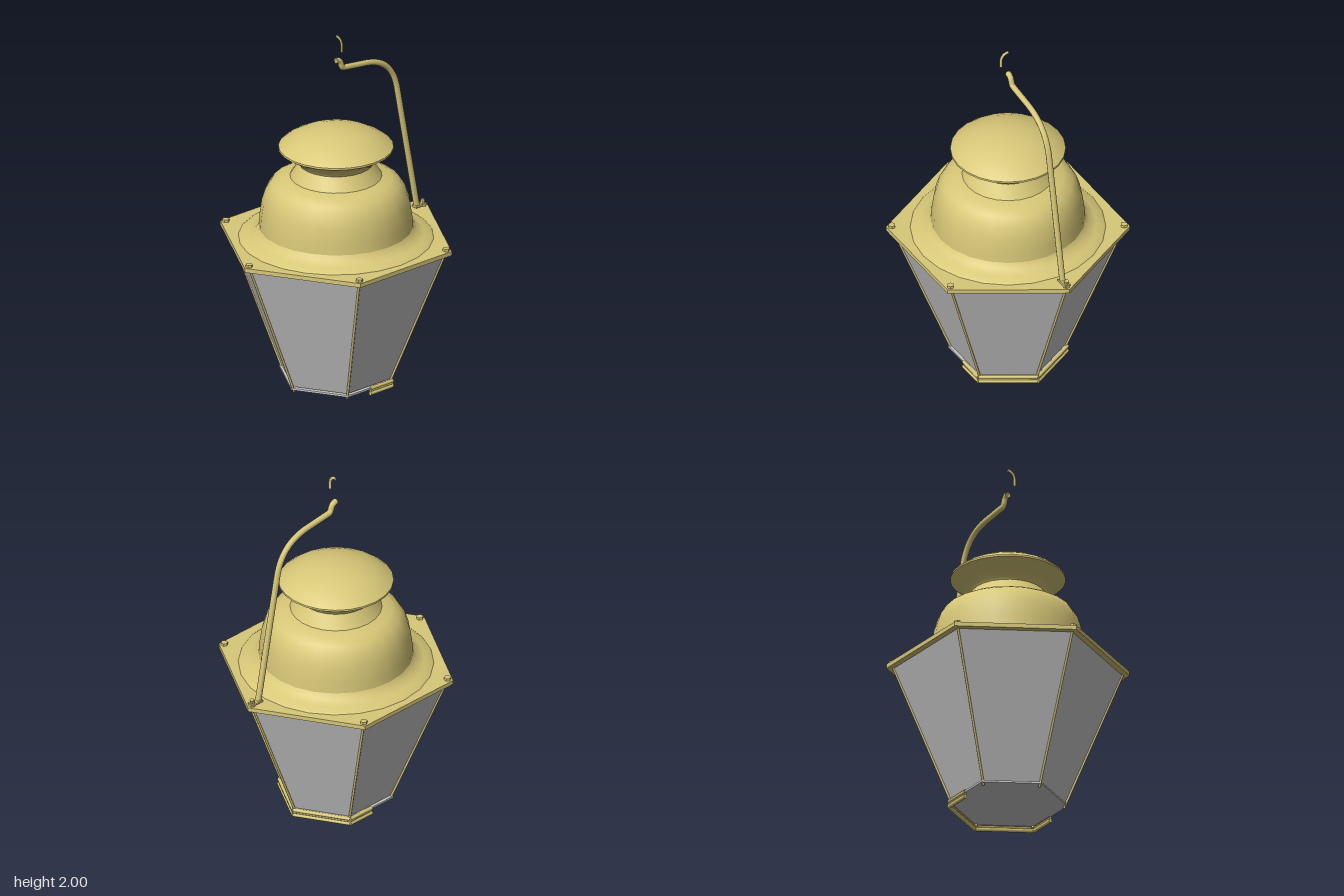
import * as THREE from 'three';
import { toCreasedNormals } from 'three/addons/utils/BufferGeometryUtils.js';

const V = (x, y, z) => new THREE.Vector3(x, y, z);

export function createModel() {
  const model = new THREE.Group();
  model.name = 'lantern';
  const brass = new THREE.MeshStandardMaterial({ color: 0xd8c878, side: THREE.DoubleSide });
  const brassFlat = new THREE.MeshStandardMaterial({ color: 0xd8c878, flatShading: true });
  const glass = new THREE.MeshStandardMaterial({ color: 0xcccccc, flatShading: true, side: THREE.DoubleSide });

  const add = (name, geometry, material, parent = model) => {
    const mesh = new THREE.Mesh(geometry, material);
    mesh.name = name;
    parent.add(mesh);
    return mesh;
  };
  const group = (name) => {
    const g = new THREE.Group();
    g.name = name;
    model.add(g);
    return g;
  };
  // Six-sided prism or frustum with corners on the x axis
  const hex = (top, bottom, y0, y1, open = false) =>
    new THREE.CylinderGeometry(top, bottom, y1 - y0, 6, 1, open, Math.PI / 2).translate(0, (y0 + y1) / 2, 0);
  const corner = (r, y, i) => V(r * Math.cos(i * Math.PI / 3), y, r * Math.sin(i * Math.PI / 3));
  // Straight round bar between two points
  const bar = (name, a, b, r, sides, parent) => {
    const mesh = add(name, new THREE.CylinderGeometry(r, r, a.distanceTo(b), sides), brass, parent);
    mesh.position.lerpVectors(a, b, 0.5);
    mesh.quaternion.setFromUnitVectors(V(0, 1, 0), b.clone().sub(a).normalize());
  };
  const lathe = (name, points) => {
    const g = new THREE.LatheGeometry(points.map(([r, y]) => new THREE.Vector2(r, y)), 24);
    add(name, toCreasedNormals(g, 0.7), brass);
  };

  // Tapering panes and floor
  add('glassPanes', hex(0.61, 0.305, 0.05, 0.812, true), glass);
  add('floorPlate', hex(0.318, 0.318, 0.034, 0.045), glass);

  // Corner bars
  const bars = group('cornerBars');
  for (let i = 0; i < 6; i++) bar('cornerBar', corner(0.61, 0.812, i), corner(0.297, 0.02, i), 0.007, 6, bars);

  // Bottom trim around the +x half
  const trim = group('bottomTrim');
  const half = [V(0, 0, 0.273), corner(0.315, 0, 1), corner(0.315, 0, 0), corner(0.315, 0, -1), V(0, 0, -0.273)];
  for (const [y, r] of [[0.011, 0.011], [0.026, 0.006], [0.04, 0.01]]) {
    for (let i = 0; i < 4; i++) {
      bar('trimRail', half[i].clone().setY(y), half[i + 1].clone().setY(y), r, 8, trim);
    }
  }

  // Hexagonal roof plate and its bolts
  add('roofPlate', hex(0.648, 0.648, 0.81, 0.834), brassFlat);
  const bolts = group('bolts');
  for (let i = 0; i < 6; i++) {
    const bolt = add('bolt', new THREE.CylinderGeometry(0.019, 0.019, 0.016, 6), brassFlat, bolts);
    bolt.position.copy(corner(0.617, 0.841, i));
  }

  // Turned roof: flange, dome, neck and cap
  lathe('flange', [[0.52, 0.834], [0.51, 0.842], [0.47, 0.852], [0.43, 0.873], [0.412, 0.9]]);
  lathe('dome', [[0.412, 0.88], [0.406, 0.96], [0.395, 1.04], [0.376, 1.1], [0.345, 1.15], [0.3, 1.176],
    [0.245, 1.188]]);
  lathe('neck', [[0.245, 1.188], [0.225, 1.22], [0.198, 1.262], [0.205, 1.275], [0.24, 1.305], [0.308, 1.348]]);
  lathe('cap', [[0.308, 1.348], [0.307, 1.358], [0.27, 1.388], [0.21, 1.42], [0.14, 1.443], [0.07, 1.455], [0, 1.459]]);

  // Carrying arm rising from the +x corner
  const path = new THREE.CurvePath();
  path.add(new THREE.LineCurve3(V(0.572, 0.85, 0), V(0.432, 1.575, 0)));
  path.add(new THREE.CubicBezierCurve3(V(0.432, 1.575, 0), V(0.405, 1.7, 0), V(0.33, 1.765, 0), V(0.19, 1.779, 0)));
  path.add(new THREE.LineCurve3(V(0.19, 1.779, 0), V(0.052, 1.796, 0)));
  path.add(new THREE.QuadraticBezierCurve3(V(0.052, 1.796, 0), V(0.04, 1.798, 0), V(0.035, 1.82, 0)));
  path.add(new THREE.QuadraticBezierCurve3(V(0.035, 1.82, 0), V(0.028, 1.85, 0), V(0, 1.85, 0)));
  add('carryingArm', new THREE.TubeGeometry(path, 90, 0.017, 8), brass);
  const foot = add('armFoot', new THREE.BoxGeometry(0.075, 0.012, 0.036), brassFlat);
  foot.position.set(0.592, 0.845, 0);
  const pin = add('armPin', new THREE.CylinderGeometry(0.012, 0.012, 0.03, 8), brassFlat);
  pin.position.set(0.615, 0.858, 0);
  pin.rotation.z = -0.3;

  // Half-round top hook, cut flat on the plane x = 0
  const hookPath = new THREE.CurvePath();
  hookPath.add(new THREE.CubicBezierCurve3(V(0, 1.991, 0), V(0, 1.991, 0.025), V(0, 1.975, 0.044), V(0, 1.945, 0.044)));
  hookPath.add(new THREE.LineCurve3(V(0, 1.945, 0.044), V(0, 1.912, 0.044)));
  const hook = new THREE.TubeGeometry(hookPath, 16, 0.009, 12);
  const p = hook.attributes.position;
  for (let i = 0; i < p.count; i++) p.setX(i, Math.max(0, p.getX(i)));
  add('topHook', hook, brass);

  return model;
}
